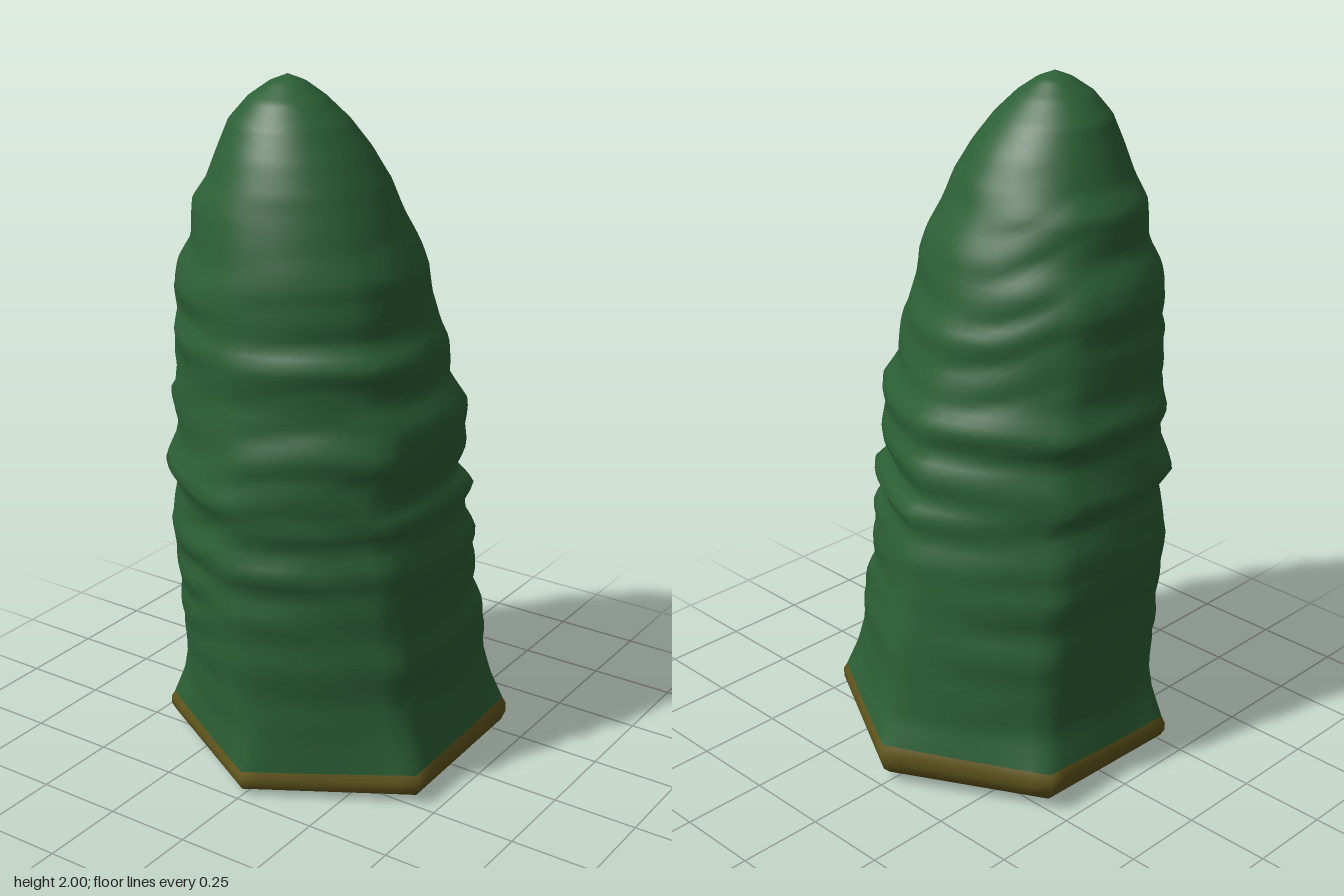
import * as THREE from 'three';

// Silhouette of the body: [height, right x, left x, back z, front z]
const PROFILE = [
  [0.09, -0.44, 0.44, -0.495, 0.485], [0.2, -0.41, 0.415, -0.455, 0.465],
  [0.3, -0.41, 0.40, -0.44, 0.46], [0.41, -0.42, 0.41, -0.435, 0.475],
  [0.5, -0.42, 0.39, -0.42, 0.475], [0.57, -0.425, 0.385, -0.41, 0.485],
  [0.64, -0.44, 0.395, -0.40, 0.47], [0.70, -0.435, 0.39, -0.40, 0.495],
  [0.77, -0.425, 0.37, -0.37, 0.47], [0.83, -0.41, 0.39, -0.385, 0.48],
  [0.88, -0.44, 0.36, -0.35, 0.495], [0.95, -0.42, 0.375, -0.365, 0.48],
  [1.02, -0.40, 0.39, -0.335, 0.475], [1.09, -0.44, 0.39, -0.34, 0.46],
  [1.17, -0.405, 0.345, -0.305, 0.45], [1.28, -0.41, 0.355, -0.275, 0.46],
  [1.34, -0.395, 0.32, -0.27, 0.44], [1.41, -0.41, 0.31, -0.24, 0.44],
  [1.48, -0.39, 0.31, -0.225, 0.43], [1.55, -0.345, 0.28, -0.205, 0.415],
  [1.66, -0.335, 0.235, -0.15, 0.39], [1.72, -0.29, 0.21, -0.125, 0.37],
  [1.8, -0.255, 0.165, -0.08, 0.34], [1.88, -0.22, 0.11, -0.02, 0.30],
  [1.94, -0.165, 0.05, 0.04, 0.25], [1.98, -0.11, -0.01, 0.09, 0.19],
  [2.0, -0.06, -0.06, 0.14, 0.14],
];
const SEGMENTS = 60;
const clamp = THREE.MathUtils.clamp, lerp = THREE.MathUtils.lerp;

function bounds(y) {
  let i = 1;
  while (i < PROFILE.length - 1 && PROFILE[i][0] < y) i++;
  const a = PROFILE[i - 1], b = PROFILE[i];
  const t = clamp((y - a[0]) / (b[0] - a[0]), 0, 1);
  return a.map((v, k) => lerp(v, b[k], t));
}

// Point on a section that changes from a hexagon to an oval with height
function sectionPoint(y, angle, scale) {
  const [, x0, x1, z0, z1] = bounds(y);
  const sector = Math.PI / 3;
  const off = ((angle + sector / 2) % sector + sector) % sector - sector / 2;
  // The offset is measured from the flat sides at +x and -x
  const hex = Math.cos(sector / 2) / Math.cos(off);
  // The front right side is a little rounder than the others
  const sides = 0.7 - 0.1 * (1 + Math.cos(angle - 2));
  const h = y < 0.25 ? lerp(1, sides, clamp((y - 0.09) / 0.16, 0, 1)) : sides * clamp((1.9 - y) / 1.65, 0, 1);
  const ux = lerp(Math.cos(angle), Math.cos(angle) * hex / Math.cos(sector / 2), h);
  const uz = lerp(Math.sin(angle), Math.sin(angle) * hex, h);
  // Slanting, uneven folds, strongest between the four main sides
  const phase = y * 24 + 1.3 * Math.sin(2 * angle + y * 3) + 0.8 * Math.sin(3 * angle + 1);
  const patch = 0.65 + 0.35 * Math.sin(3 * angle + y * 5);
  const fade = clamp((y - 0.2) / 0.3, 0, 1) * clamp((1.8 - y) / 0.4, 0, 1);
  const between = 0.25 + 0.75 * Math.abs(Math.sin(2 * angle));
  const fold = (Math.abs(Math.sin(phase)) - 0.65) * 0.035 * patch * between;
  const s = scale * (1 + (fold - 0.008) * fade);
  return [(x0 + x1) / 2 + ux * s * (x1 - x0) / 2, (z0 + z1) / 2 + uz * s * (z1 - z0) / 2];
}

// Loft closed rings; each ring is {y, scale, tilt}
function loft(rings) {
  const pos = [], index = [];
  rings.forEach(({ y, scale = 1, tilt = 0 }, r) => {
    for (let i = 0; i < SEGMENTS; i++) {
      const [x, z] = sectionPoint(y, i / SEGMENTS * Math.PI * 2, scale);
      pos.push(x, y - tilt * z, z);
      if (r === rings.length - 1) continue;
      const a = r * SEGMENTS + i, b = r * SEGMENTS + (i + 1) % SEGMENTS;
      index.push(a, a + SEGMENTS, b, b, a + SEGMENTS, b + SEGMENTS);
    }
  });
  const geo = new THREE.BufferGeometry();
  geo.setAttribute('position', new THREE.Float32BufferAttribute(pos, 3));
  geo.setIndex(index);
  geo.computeVertexNormals();
  return geo;
}

export function createModel() {
  const group = new THREE.Group();
  const green = new THREE.MeshStandardMaterial({ color: 0x2c6035 });
  green.name = 'leaf green';
  const brown = new THREE.MeshStandardMaterial({ color: 0x62571d });
  brown.name = 'earth brown';
  const add = (name, geo, mat) => {
    const mesh = new THREE.Mesh(geo, mat);
    mesh.name = name;
    group.add(mesh);
  };

  // Folded foliage, with rings packed closer towards the tip
  const body = [];
  for (let i = 0; i <= 100; i++) {
    const y = 0.105 + 1.895 * Math.sin(i / 100 * Math.PI / 2);
    body.push({ y, tilt: 0.055 * clamp((0.4 - y) / 0.29, 0, 1) });
  }
  add('foliage', loft(body), green);

  // Hexagonal earth rim
  add('baseRim', loft([
    { y: 0.02, scale: 0.94, tilt: 0.02 }, { y: 0.035, scale: 0.985, tilt: 0.03 },
    { y: 0.06, scale: 1.01, tilt: 0.045 }, { y: 0.085, scale: 1.01, tilt: 0.055 },
    { y: 0.105, scale: 1, tilt: 0.055 },
  ]), brown);

  // Shallow underside
  add('underside', loft([
    { y: 0, scale: 0 }, { y: 0.002, scale: 0.6 }, { y: 0.02, scale: 0.94, tilt: 0.02 },
  ]), brown);
  return group;
}
